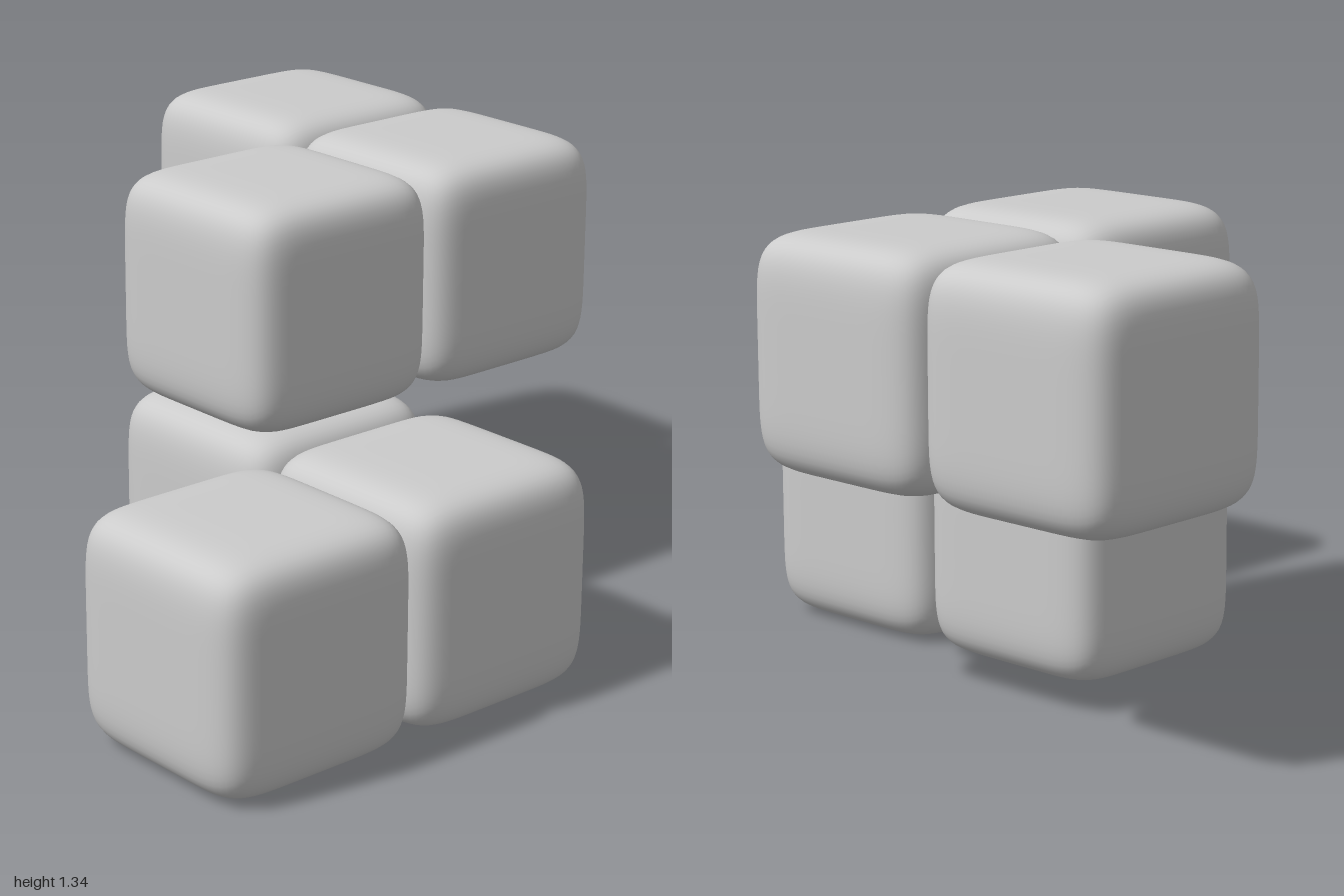
import * as THREE from 'three';

const HALF = 0.337;   // half size of one cube
const PITCH = 0.663;  // spacing between cube centres
const POWER = 6.5;    // squareness of the pillowed cube

// Pillowed cube: box vertices pulled onto |x|^n + |y|^n + |z|^n = 1
function pillowCube() {
  const geo = new THREE.BoxGeometry(2, 2, 2, 26, 26, 26);
  const pos = geo.attributes.position;
  const nor = geo.attributes.normal;
  const p = new THREE.Vector3();
  const n = new THREE.Vector3();
  const slope = (v) => Math.sign(v) * Math.abs(v) ** (POWER - 1);
  for (let i = 0; i < pos.count; i++) {
    p.fromBufferAttribute(pos, i);
    const sum = Math.abs(p.x) ** POWER + Math.abs(p.y) ** POWER + Math.abs(p.z) ** POWER;
    p.multiplyScalar(sum ** (-1 / POWER));
    n.set(slope(p.x), slope(p.y), slope(p.z)).normalize();
    nor.setXYZ(i, n.x, n.y, n.z);
    p.multiplyScalar(HALF);
    pos.setXYZ(i, p.x, p.y, p.z);
  }
  return geo;
}

export function createModel() {
  const model = new THREE.Group();
  model.name = 'cubeChain';
  const geometry = pillowCube();
  const material = new THREE.MeshStandardMaterial({ color: 0xcccccc });

  // Grid cells of the stepped chain, from the low front end to the high back end
  const cells = {
    lowerEndCube: [-1, 0, 1],
    lowerCornerCube: [0, 0, 1],
    lowerMiddleCube: [0, 0, 0],
    upperMiddleCube: [0, 1, 0],
    upperCornerCube: [1, 1, 0],
    upperEndCube: [1, 1, -1],
  };
  for (const [name, [x, y, z]] of Object.entries(cells)) {
    const cube = new THREE.Mesh(geometry, material);
    cube.name = name;
    cube.position.set(x * PITCH, HALF + y * PITCH, z * PITCH);
    model.add(cube);
  }
  return model;
}
